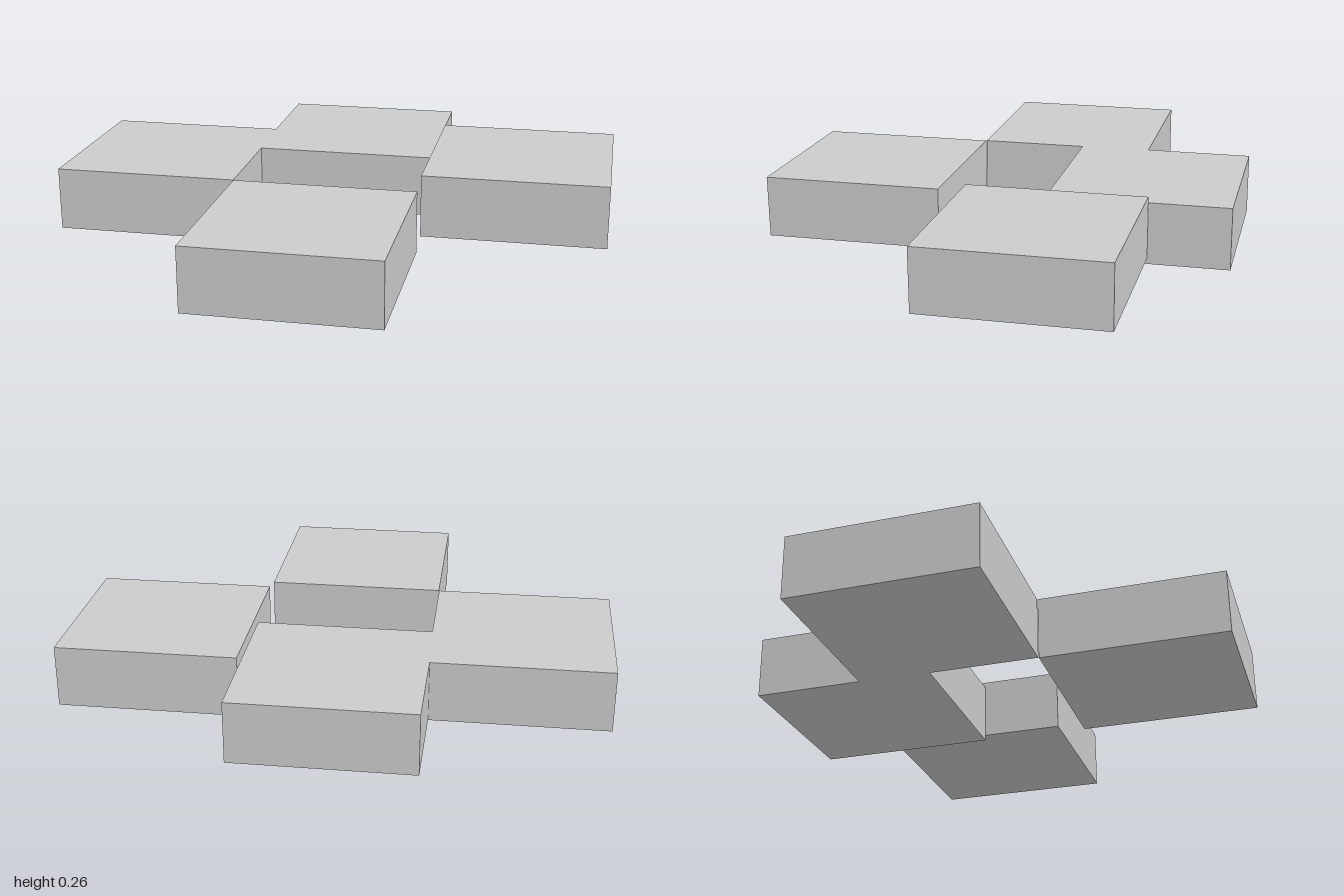
import * as THREE from 'three';

const HALF = 0.4815; // half diagonal of each square slab
const THICK = 0.235;
const material = new THREE.MeshStandardMaterial({ color: 0xcccccc, flatShading: true });

// Extrudes a plan outline of [x, z] corners upward from the given base height
function slab(name, corners, baseY) {
  const shape = new THREE.Shape(corners.map(([x, z]) => new THREE.Vector2(x, -z)));
  const geometry = new THREE.ExtrudeGeometry(shape, { depth: THICK, bevelEnabled: false });
  geometry.rotateX(-Math.PI / 2);
  const mesh = new THREE.Mesh(geometry, material);
  mesh.name = name;
  mesh.position.y = baseY;
  return mesh;
}

// Corners of a square turned 45 degrees
const diamond = (x, z) => [[x - HALF, z], [x, z + HALF], [x + HALF, z], [x, z - HALF]];

export function createModel() {
  const group = new THREE.Group();
  group.name = 'steppingSlabs';

  // Two offset squares merged into one stepped slab
  const [aLeft, aFront, , aBack] = diamond(-0.5185, -0.4825);
  const [, bFront, bRight, bBack] = diamond(0.245, -0.296);
  group.add(slab('joinedSlab', [
    aLeft, aFront, [-0.23, -0.29], bFront, bRight, bBack, [-0.044, -0.489], aBack,
  ], 0));

  // Separate squares; the left one sits slightly higher
  group.add(slab('frontRightSlab', diamond(-0.5185, 0.4825), 0));
  group.add(slab('raisedFrontLeftSlab', diamond(0.5185, 0.405), 0.025));

  return group;
}
